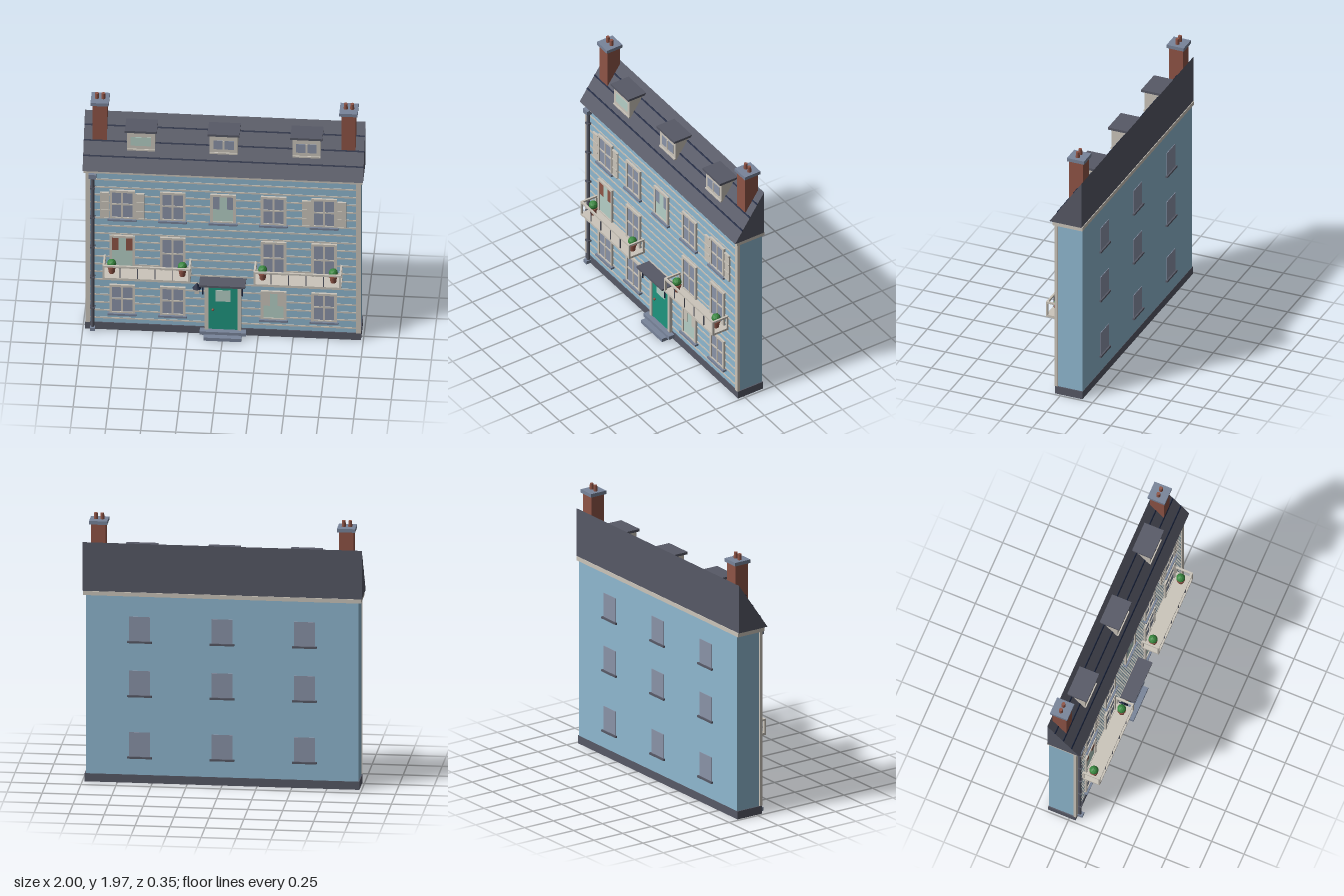
import * as THREE from 'three';

const paint = (name, color) => {
  const m = new THREE.MeshStandardMaterial({ color });
  m.name = name;
  return m;
};
const wall = paint('blue siding', 0x8fb8d0);
const slate = paint('slate', 0x575966);
const cream = paint('cream trim', 0xcbc5bb);
const brick = paint('brick', 0x8f5446);
const glass = paint('window glass', 0x8a93a8);
const pale = paint('lit glass', 0xb5cfc6);
const green = paint('door green', 0x1f967f);
const leaf = paint('leaf green', 0x38873f);
const navy = paint('dark iron', 0x1c2640);
const stone = paint('blue stone', 0x78849a);

const FRONT = 0.042, BACK = -0.162;
const ROOF = { y0: 1.41, y1: 1.77, z0: 0.085, z1: -0.163 };

function add(parent, name, geometry, material, x = 0, y = 0, z = 0) {
  const mesh = new THREE.Mesh(geometry, material);
  mesh.name = name;
  mesh.position.set(x, y, z);
  parent.add(mesh);
  return mesh;
}

// Box centred on x, spanning y0..y1 and z0..z1
function box(parent, name, material, x, w, y0, y1, z0, z1) {
  return add(parent, name, new THREE.BoxGeometry(w, y1 - y0, z1 - z0), material,
    x, (y0 + y1) / 2, (z0 + z1) / 2);
}

function tube(parent, name, material, x, y0, y1, z, r0, r1 = r0, sides = 12) {
  return add(parent, name, new THREE.CylinderGeometry(r1, r0, y1 - y0, sides), material, x, (y0 + y1) / 2, z);
}

function group(parent, name) {
  const g = new THREE.Group();
  g.name = name;
  parent.add(g);
  return g;
}

// Framed window: cross bars on plain glass, or curtains on lit glass
function frontWindow(parent, x, y0, y1, { curtain, sill = true } = {}) {
  const g = group(parent, 'frontWindow');
  const w = 0.182, f = 0.018, z = FRONT, mid = (y0 + y1) / 2;
  box(g, 'glass', curtain ? pale : glass, x, w - f, y0, y1 - f / 2, z, z + 0.007);
  for (const s of [-1, 1]) box(g, 'jamb', cream, x + s * (w - f) / 2, f, y0, y1, z, z + 0.016);
  box(g, 'head', cream, x, w, y1 - f, y1, z, z + 0.016);
  box(g, 'bottomRail', cream, x, w, y0, y0 + 0.01, z, z + 0.014);
  if (curtain) {
    for (const s of [-1, 1])
      box(g, 'curtain', curtain, x + s * 0.05, 0.046, y1 - 0.13, y1 - f, z + 0.004, z + 0.009);
  } else {
    box(g, 'mullion', cream, x, 0.012, y0, y1, z, z + 0.012);
    box(g, 'transom', cream, x, w - f, mid - 0.006, mid + 0.006, z, z + 0.012);
  }
  if (sill) box(g, 'sill', stone, x, 0.204, y0 - 0.016, y0, z, z + 0.028);
}

function shutter(parent, x, y0, y1) {
  const g = group(parent, 'shutter');
  box(g, 'panel', cream, x, 0.064, y0, y1, FRONT, FRONT + 0.012);
  for (let i = 0; i < 4; i++) {
    const y = y0 + (y1 - y0) * (i / 3);
    box(g, 'rail', cream, x, 0.06, y - (i ? 0.01 : 0), y + (i ? 0 : 0.01), FRONT, FRONT + 0.016);
  }
}

function pottedPlant(parent, x, y, z) {
  const g = group(parent, 'pottedPlant');
  tube(g, 'pot', brick, x, y, y + 0.05, z, 0.021, 0.028);
  tube(g, 'potRim', brick, x, y + 0.045, y + 0.058, z, 0.031);
  const bush = new THREE.IcosahedronGeometry(0.033, 1).toNonIndexed();
  bush.computeVertexNormals();
  add(g, 'bush', bush, leaf, x, y + 0.08, z);
}

function balcony(parent, x) {
  const g = group(parent, 'balcony');
  const w = 0.625, zf = 0.177;
  box(g, 'floor', cream, x, w, 0.53, 0.547, FRONT, zf);
  box(g, 'frontRail', cream, x, w, 0.638, 0.652, zf - 0.014, zf);
  for (const s of [-1, 1]) {
    const e = x + s * (w / 2 - 0.007);
    box(g, 'sideRail', cream, e, 0.014, 0.638, 0.652, FRONT, zf);
    box(g, 'cornerPost', cream, e, 0.014, 0.547, 0.638, zf - 0.014, zf);
    box(g, 'wallPost', cream, e, 0.014, 0.547, 0.638, FRONT, FRONT + 0.014);
    pottedPlant(g, x + s * 0.252, 0.547, 0.108);
  }
  for (let i = 1; i < 5; i++)
    box(g, 'baluster', slate, x - w / 2 + i * w / 5, 0.006, 0.547, 0.638, zf - 0.01, zf - 0.004);
}

function dormer(parent, x, lit) {
  const g = group(parent, 'dormer');
  const z = -0.004;
  box(g, 'dormerBody', cream, x, 0.2, 1.55, 1.712, -0.135, z);
  box(g, 'dormerCap', slate, x, 0.228, 1.712, 1.73, -0.14, 0.016);
  box(g, 'dormerGlass', lit ? pale : glass, x, 0.146, 1.59, 1.665, z, z + 0.003);
  if (!lit) box(g, 'dormerMullion', cream, x, 0.014, 1.59, 1.665, z, z + 0.006);
  box(g, 'dormerSill', cream, x, 0.2, 1.55, 1.562, z, z + 0.008);
}

function chimney(parent, x) {
  const g = group(parent, 'chimney');
  box(g, 'stack', brick, x, 0.102, 1.43, 1.905, -0.15, -0.042);
  box(g, 'chimneyCap', stone, x, 0.13, 1.902, 1.928, -0.163, -0.03);
  for (const s of [-1, 1]) tube(g, 'chimneyPot', brick, x + s * 0.023, 1.928, 1.972, -0.096, 0.015, 0.013);
}

function createRoof(parent) {
  const g = group(parent, 'roof');
  const { y0, y1, z0, z1 } = ROOF;
  // Lean-to wedge extruded across the width
  const side = new THREE.Shape([[-z0, y0], [-z1, y0], [-z1, y1]].map(p => new THREE.Vector2(...p)));
  const wedge = new THREE.ExtrudeGeometry(side, { depth: 2, bevelEnabled: false });
  wedge.rotateY(Math.PI / 2).translate(-1, 0, 0);
  add(g, 'roofWedge', wedge, slate);
  // Dark slate courses lying along the slope
  const tilt = Math.atan2(z0 - z1, y1 - y0);
  for (const y of [1.503, 1.594, 1.685]) {
    const z = z0 + (z1 - z0) * (y - y0) / (y1 - y0);
    add(g, 'slateCourse', new THREE.BoxGeometry(2, 0.011, 0.008), navy, 0, y, z).rotation.x = -tilt;
  }
  [-0.59, 0, 0.59].forEach((x, i) => dormer(g, x, i === 0));
  for (const s of [-1, 1]) chimney(g, s * 0.887);
}

function createEntrance(parent) {
  const g = group(parent, 'entrance');
  box(g, 'lowerStep', stone, 0, 0.27, 0, 0.027, FRONT, 0.135);
  box(g, 'upperStep', stone, 0, 0.33, 0.022, 0.05, FRONT, 0.095);
  for (const s of [-1, 1]) {
    box(g, 'doorJamb', cream, s * 0.117, 0.026, 0.05, 0.475, FRONT, 0.066);
    box(g, 'canopyBracket', navy, s * 0.141, 0.009, 0.395, 0.475, 0.112, 0.121);
    box(g, 'canopyArm', navy, s * 0.141, 0.009, 0.462, 0.475, FRONT, 0.121);
  }
  box(g, 'doorHead', cream, 0, 0.26, 0.435, 0.475, FRONT, 0.066);
  box(g, 'door', green, 0, 0.21, 0.05, 0.436, FRONT, 0.056);
  box(g, 'doorGlass', pale, 0, 0.106, 0.295, 0.393, 0.056, 0.059);
  add(g, 'doorKnob', new THREE.SphereGeometry(0.01, 12, 8), brick, -0.072, 0.223, 0.062);
  box(g, 'canopy', slate, 0, 0.305, 0.475, 0.487, FRONT, 0.145);
  box(g, 'canopyTop', slate, 0, 0.33, 0.485, 0.499, FRONT, 0.155);
  // Wall lantern
  box(g, 'lampArm', navy, -0.185, 0.012, 0.425, 0.436, FRONT, 0.085);
  box(g, 'lampBody', cream, -0.185, 0.034, 0.38, 0.425, 0.063, 0.097);
  tube(g, 'lampHood', navy, -0.185, 0.422, 0.462, 0.08, 0.033, 0.003, 8);
}

function createDrainpipe(parent) {
  const g = group(parent, 'drainpipe');
  const x = -0.93, z = 0.058;
  tube(g, 'pipe', slate, x, 0.02, 1.35, z, 0.013);
  box(g, 'hopper', stone, x, 0.054, 1.342, 1.378, FRONT, 0.085);
  for (const y of [0.2, 0.465, 0.73, 0.99, 1.25]) box(g, 'pipeClip', slate, x, 0.036, y - 0.006, y + 0.006, FRONT, 0.074);
  box(g, 'pipeShoe', stone, x, 0.036, 0.005, 0.032, FRONT, 0.085);
}

export function createModel() {
  const house = new THREE.Group();
  house.name = 'townhouse';

  // Shell
  box(house, 'walls', wall, 0, 1.95, 0.05, 1.39, BACK, FRONT);
  box(house, 'plinth', slate, 0, 1.966, 0, 0.06, -0.164, 0.048);
  box(house, 'cornice', cream, 0, 1.99, 1.38, 1.41, -0.168, 0.064);
  for (const s of [-1, 1]) box(house, 'cornerBoard', cream, s * 0.965, 0.034, 0.06, 1.38, FRONT - 0.012, 0.052);
  for (let i = 0; i < 19; i++) {
    const y = 0.1 + i * 0.0675;
    box(house, 'sidingLine', cream, 0, 1.9, y - 0.006, y + 0.006, FRONT - 0.002, FRONT + 0.004);
  }

  // Front windows, bottom to top
  for (const x of [-0.72, -0.36, 0.36, 0.72]) {
    frontWindow(house, x, 0.155, 0.4, { curtain: x === 0.36 ? cream : null });
    frontWindow(house, x, 0.547, 0.833, { curtain: x === -0.72 ? brick : null, sill: false });
  }
  for (const x of [-0.72, -0.36, 0, 0.36, 0.72])
    frontWindow(house, x, 0.985, 1.23, { curtain: x === 0 ? glass : null });
  for (const x of [-0.72, 0.72])
    for (const s of [-1, 1]) shutter(house, x + s * 0.126, 0.982, 1.207);

  // Rear windows
  for (const x of [-0.59, 0, 0.59])
    for (const y of [0.195, 0.65, 1.05]) {
      box(house, 'rearGlass', glass, x, 0.15, y, y + 0.18, BACK - 0.004, BACK);
      box(house, 'rearSill', slate, x, 0.176, y - 0.014, y, BACK - 0.015, BACK);
    }

  for (const x of [-0.538, 0.538]) balcony(house, x);
  createEntrance(house);
  createDrainpipe(house);
  createRoof(house);
  return house;
}
